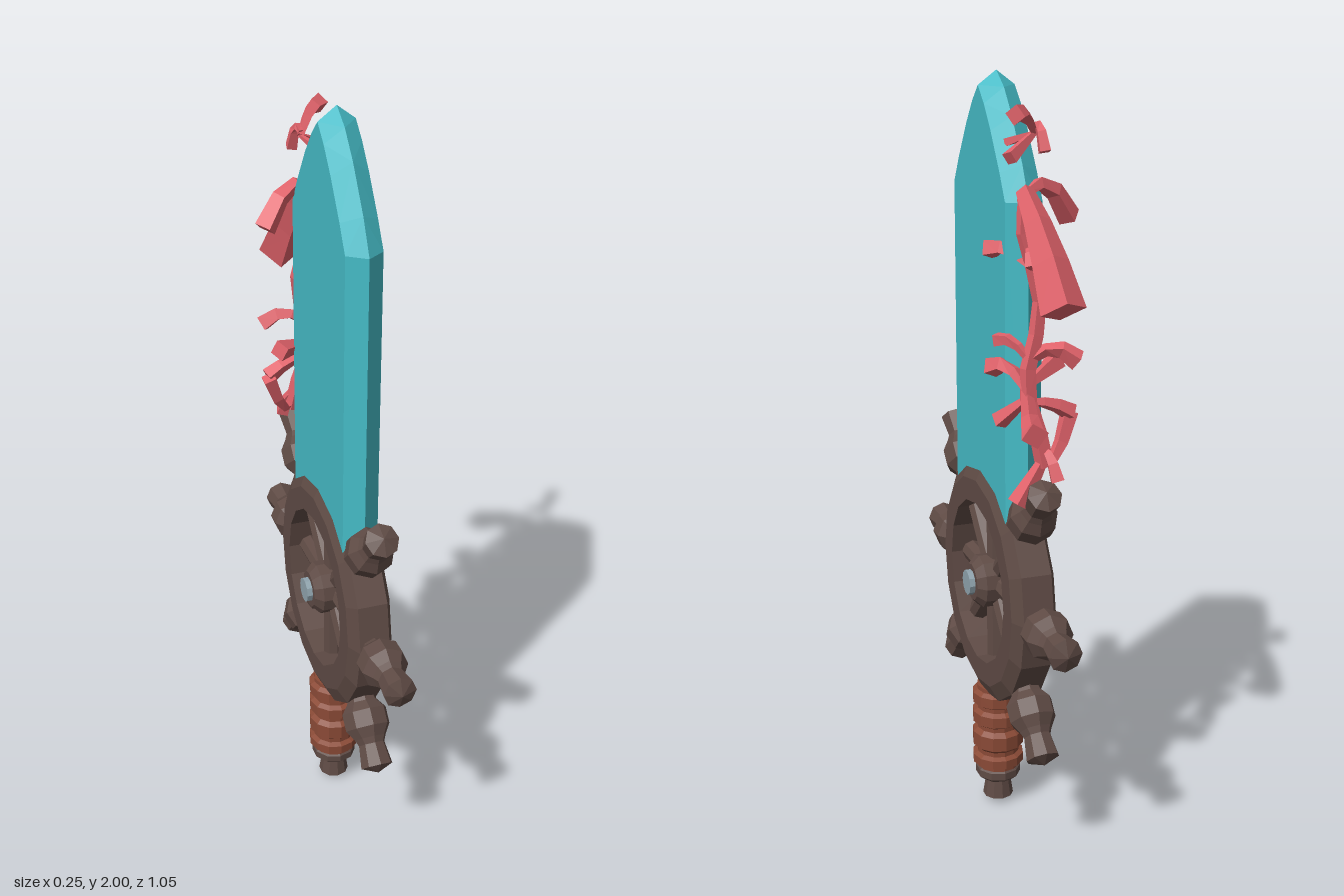
import * as THREE from 'three';
import { ConvexGeometry } from 'three/addons/geometries/ConvexGeometry.js';

const mat = (color) => new THREE.MeshStandardMaterial({ color, flatShading: true });
const wood = mat(0x5f4b45), grip = mat(0x8a4a36), metal = mat(0x8fa3ad);
const blade = mat(0x45bbc6), coral = mat(0xe0626a);

// Lathe from [radius, height] pairs listed bottom to top
const lathe = (pts, sides) =>
  new THREE.LatheGeometry(pts.map(([r, y]) => new THREE.Vector2(r, y)), sides);

function part(parent, name, geometry, material) {
  const mesh = new THREE.Mesh(geometry, material);
  mesh.name = name;
  parent.add(mesh);
  return mesh;
}

// Four-sided branch along points, its radius going from r0 to r1
function branchGeometry(points, r0, r1) {
  const pos = [], index = [], last = points.length - 1;
  const u = new THREE.Vector3(0.8, 0.3, 0.5);
  points.forEach((c, i) => {
    const t = points[Math.min(i + 1, last)].clone().sub(points[Math.max(i - 1, 0)]).normalize();
    u.addScaledVector(t, -u.dot(t)).normalize();
    const v = t.clone().cross(u), r = r0 + ((r1 - r0) * i) / last;
    for (let k = 0; k < 4; k++) {
      const a = (k * Math.PI) / 2, j = i * 4 + k, n = i * 4 + ((k + 1) % 4);
      pos.push(...c.clone().addScaledVector(u, r * Math.cos(a)).addScaledVector(v, r * Math.sin(a)));
      if (i < last) index.push(j, n, n + 4, j, n + 4, j + 4);
    }
  });
  const e = last * 4;
  index.push(0, 2, 1, 0, 3, 2, e, e + 1, e + 2, e, e + 2, e + 3);
  const g = new THREE.BufferGeometry();
  g.setAttribute('position', new THREE.Float32BufferAttribute(pos, 3));
  g.setIndex(index);
  g.computeVertexNormals();
  return g;
}

// Wavy line the coral grows on, just behind the rear edge
const stemAt = (y) => new THREE.Vector3(0.03 + 0.02 * Math.sin(y * 16), y, -0.28 + (y - 1.2) * 0.11);

export function createModel() {
  const model = new THREE.Group();
  model.name = 'sword';
  const sword = new THREE.Group();
  sword.name = 'bladeAndHilt';
  sword.position.x = 0.033;
  model.add(sword);

  // Blade: sharp outline at the middle, flat faces inset on both sides
  const edge = [[0.235, 0.9], [0.235, 1.71], [0.19, 1.795], [0.116, 1.9], [0.058, 1.963], [0, 2]];
  const face = [[0.2, 0.9], [0.2, 1.71], [0.16, 1.775], [0.095, 1.866], [0.045, 1.925], [0, 1.965]];
  const hull = [];
  for (const s of [1, -1]) {
    edge.forEach(([z, y]) => hull.push(new THREE.Vector3(0, y, s * z)));
    face.forEach(([z, y]) => {
      for (const x of [-0.047, 0.047]) hull.push(new THREE.Vector3(x, y, s * z));
    });
  }
  part(sword, 'blade', new ConvexGeometry(hull), blade);

  // Ship's wheel guard, built around its own centre
  const wheel = new THREE.Group();
  wheel.name = 'wheel';
  wheel.position.y = 0.67;
  sword.add(wheel);
  const rim = [[0.222, -0.06], [0.285, -0.06], [0.326, -0.04], [0.326, 0.04],
    [0.285, 0.06], [0.222, 0.06], [0.222, -0.06]];
  const hub = [[0, -0.073], [0.05, -0.073], [0.072, -0.052], [0.072, 0.052], [0.05, 0.073], [0, 0.073]];
  part(wheel, 'rim', lathe(rim, 16), wood).rotation.z = Math.PI / 2;
  part(wheel, 'hub', lathe(hub, 12), wood).rotation.z = Math.PI / 2;
  part(wheel, 'axle', new THREE.CylinderGeometry(0.034, 0.034, 0.176, 10), metal).rotation.z = Math.PI / 2;

  // Eight spokes, six of them ending in handles
  const handle = lathe([[0.034, 0.3], [0.042, 0.33], [0.062, 0.355], [0.062, 0.4], [0.044, 0.428],
    [0.036, 0.445], [0.044, 0.505], [0, 0.523]], 8);
  const spoke = new THREE.CylinderGeometry(0.03, 0.03, 0.2, 8).translate(0, 0.15, 0);
  for (let i = 0; i < 8; i++) {
    const angle = (i * Math.PI) / 4;
    part(wheel, 'spoke', spoke, wood).rotation.x = angle;
    if (i % 4) part(wheel, 'handle', handle, wood).rotation.x = angle;
  }

  // Grip: a core wrapped in four bulging bands
  part(sword, 'gripCore', new THREE.CylinderGeometry(0.058, 0.058, 0.25, 12).translate(0, 0.235, 0), grip);
  for (const [y, h] of [[0.137, 0.04], [0.2, 0.066], [0.267, 0.05], [0.325, 0.048]]) {
    const band = [[0.056, -0.5], [0.071, -0.3], [0.071, 0.3], [0.056, 0.5]].map(([r, t]) => [r, y + t * h]);
    part(sword, 'gripBand', lathe(band, 12), grip);
  }
  part(sword, 'pommel', lathe([[0, 0], [0.042, 0.016], [0.034, 0.07], [0.05, 0.074], [0.062, 0.085],
    [0.062, 0.105], [0.05, 0.115], [0, 0.115]], 10), wood);

  // Coral: a stem, and twigs given as root height, tip x, y, z, tip radius and upward bow
  const growth = new THREE.Group();
  growth.name = 'coral';
  model.add(growth);
  const stem = Array.from({ length: 9 }, (_, i) => stemAt(1.08 + i * 0.08));
  part(growth, 'coralStem', branchGeometry(stem, 0.024, 0.014), coral);
  const twigs = [
    [1.87, 0.09, 1.92, -0.3, 0.024, 0.02],
    [1.87, 0.05, 1.84, -0.13, 0.014, 0],
    [1.88, 0, 1.83, -0.25, 0.018, 0.03],
    [1.87, 0.09, 1.82, -0.26, 0.02, 0],
    [1.74, 0.015, 1.49, -0.42, 0.055, 0.02],
    [1.73, -0.1, 1.66, -0.155, 0.03, 0.05],
    [1.56, 0.1, 1.59, -0.13, 0.026, 0.02],
    [1.58, 0.04, 1.57, -0.29, 0.022, 0.03],
    [1.34, -0.07, 1.34, -0.3, 0.027, 0.03],
    [1.34, 0.1, 1.38, -0.19, 0.02, 0.02],
    [1.27, 0.1, 1.3, -0.15, 0.027, 0.03],
    [1.28, -0.06, 1.31, -0.18, 0.028, 0],
    [1.27, 0.06, 1.18, -0.36, 0.034, -0.03],
    [1.25, 0.1, 1.18, -0.21, 0.024, 0],
    [1.24, -0.07, 1.2, -0.26, 0.024, 0.01],
    [1.09, -0.07, 1.2, -0.25, 0.024, -0.04],
    [1.1, 0.08, 0.99, -0.3, 0.03, 0],
    [1.12, -0.01, 1.05, -0.33, 0.022, 0.02],
  ];
  for (const [y, tx, ty, tz, r, bow] of twigs) {
    const root = stemAt(y), tip = new THREE.Vector3(tx, ty, tz);
    const middle = root.clone().lerp(tip, 0.5);
    middle.y += 2 * bow;
    const curve = new THREE.QuadraticBezierCurve3(root, middle, tip);
    part(growth, 'coralTwig', branchGeometry(curve.getPoints(3), r * 0.4, r), coral);
  }
  return model;
}
